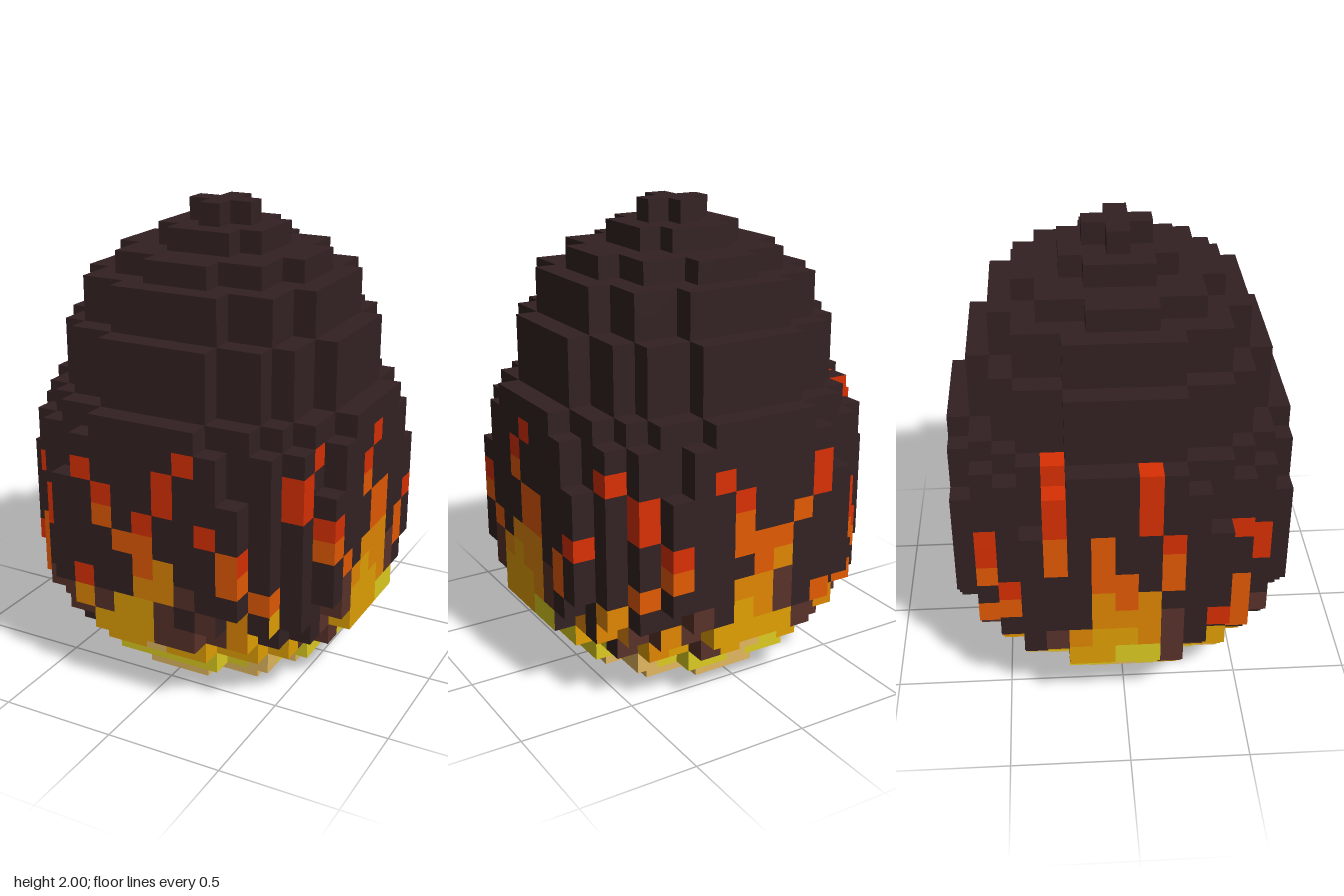
import * as THREE from 'three';

const UNIT = 2 / 21; // one cube of the 21-layer egg

// Half-widths of each kind of layer, indexed by distance from the middle row
const TIP = [1, 0], CAP = [2, 2, 1], NINE = [4, 4, 3, 3, 1], ELEVEN = [5, 5, 5, 4, 4, 2];
const THIRTEEN = [6, 6, 6, 5, 5, 4, 2], NARROW = [7, 7, 7, 6, 6, 5, 4, 2];
const MIDDLE = [7, 7, 7, 7, 6, 6, 5, 3], WIDE = [7, 7, 7, 7, 7, 6, 5, 4];
const LAYERS = [
  NINE, ELEVEN, THIRTEEN, NARROW, MIDDLE, WIDE, WIDE, WIDE, WIDE, WIDE, MIDDLE,
  MIDDLE, NARROW, THIRTEEN, THIRTEEN, THIRTEEN, ELEVEN, ELEVEN, NINE, CAP, TIP,
];

// Flame patterns as seen facing each side, from layer 12 down to layer 1
const FLAMES = {
  front: [
    '...............',
    '.........R.....',
    '....R...R....R.',
    '.R...R..R....R.',
    '..R..O.R..R...R',
    '..R...OO...O..O',
    '.O.....OA..O...',
    'RO..R..AAb..O..',
    '.ObbAbYYb.bA..b',
    'bYbbbYYYbbbA..Y',
    '.bY.YYYTYYYYYb.',
    '..YTLLLLLLLTL..',
  ],
  right: [
    '...............',
    '...R...R.......',
    '..R...R.....R..',
    '..R...O......R.',
    '...R...OO....R.',
    'R..O...OO..R..R',
    'O...O.AAA.O...O',
    '.O..bAYAAbO..O.',
    '.Y..bYYYAb..A.b',
    'bY..bYYYLLA.AbY',
    '.YYYbbLTLLL.Yb.',
    '..LTLLLTLLTTL..',
  ],
  back: [
    '.............R.',
    '..............R',
    '.R...R....R...R',
    '..R...R...R....',
    '..R...O..O..R..',
    'R..R..OOO...R..',
    '...O...OA...OR.',
    '..O...AAb....O.',
    '.A..b.YAb.O.O..',
    '.AbAbYYYYbbAbY.',
    '.YbAYbYTLYYbYb.',
    '..LTLLLTLLTTL..',
  ],
  left: [
    '....R...R......',
    '....R...R......',
    '....R...R......',
    '....O.O..R..R..',
    '.R..O.O..O...R.',
    '.R....OO.O...R.',
    '.OR...AOA...O..',
    '..O...AAAb.RO..',
    '.O..bAYYAb..Ob.',
    '.bA.bYYLLbbY...',
    '.bY.YLLTLbYYYY.',
    '..LTLLLTLYLTL..',
  ],
};

const PARTS = {
  '.': ['darkShell', 'charcoal', 0x332122],
  b: ['scorchedSpots', 'brown', 0x59322a],
  R: ['flameTips', 'red', 0xd93003],
  O: ['upperFlames', 'orange', 0xe25a02],
  A: ['middleFlames', 'amber', 0xe18602],
  Y: ['lowerFlames', 'gold', 0xe19f02],
  L: ['flameRoots', 'yellow', 0xddcb21],
  T: ['glowingBase', 'tan', 0xe2b85f],
  P: ['baseCentre', 'pale', 0xe4dcc0],
};

function filled(x, y, z) {
  const layer = LAYERS[y];
  const half = layer && layer[Math.abs(z)];
  return half !== undefined && Math.abs(x) <= half;
}

// Colour key of one face; upper and lower faces follow the nearest side
function colourKey([x, y, z], axis, sign) {
  if (y === 0) {
    const centre = Math.max(Math.abs(x), Math.abs(z)) <= 2 && Math.abs(x - z) < 4;
    return axis === 1 && centre ? 'P' : 'T';
  }
  if (y > 12) return '.';
  const row = 12 - y;
  let side = axis, positive = sign > 0;
  if (axis === 1) {
    side = Math.abs(z) >= Math.abs(x) ? 2 : 0;
    positive = (side === 2 ? z : x) > 0;
  }
  if (side === 2) return positive ? FLAMES.front[row][x + 7] : FLAMES.back[row][7 - x];
  return positive ? FLAMES.right[row][7 - z] : FLAMES.left[row][z + 7];
}

// Add the exposed faces of one cube to the position list of their colour
function addFaces(cell, positions) {
  for (let axis = 0; axis < 3; axis++) {
    for (const sign of [1, -1]) {
      const next = [...cell];
      next[axis] += sign;
      if (filled(...next)) continue;
      const u = (axis + 1) % 3, v = (axis + 2) % 3;
      const corners = [[-1, -1], [1, -1], [1, 1], [-1, 1]].map(([a, b]) => {
        const p = [cell[0], cell[1] + 0.5, cell[2]];
        p[axis] += sign / 2;
        p[u] += a / 2;
        p[v] += b / 2;
        return p.map((n) => n * UNIT);
      });
      if (sign < 0) corners.reverse();
      const out = positions[colourKey(cell, axis, sign)];
      for (const i of [0, 1, 2, 0, 2, 3]) out.push(...corners[i]);
    }
  }
}

export function createModel() {
  const group = new THREE.Group();
  group.name = 'flamingEgg';

  const positions = {};
  for (const key in PARTS) positions[key] = [];
  for (let y = 0; y < LAYERS.length; y++) {
    for (let x = -7; x <= 7; x++) {
      for (let z = -7; z <= 7; z++) {
        if (filled(x, y, z)) addFaces([x, y, z], positions);
      }
    }
  }

  // One mesh per colour
  for (const [key, [name, colourName, color]] of Object.entries(PARTS)) {
    const geometry = new THREE.BufferGeometry();
    geometry.setAttribute('position', new THREE.Float32BufferAttribute(positions[key], 3));
    geometry.computeVertexNormals();
    const material = new THREE.MeshStandardMaterial({ color });
    material.name = colourName;
    const mesh = new THREE.Mesh(geometry, material);
    mesh.name = name;
    group.add(mesh);
  }
  return group;
}
